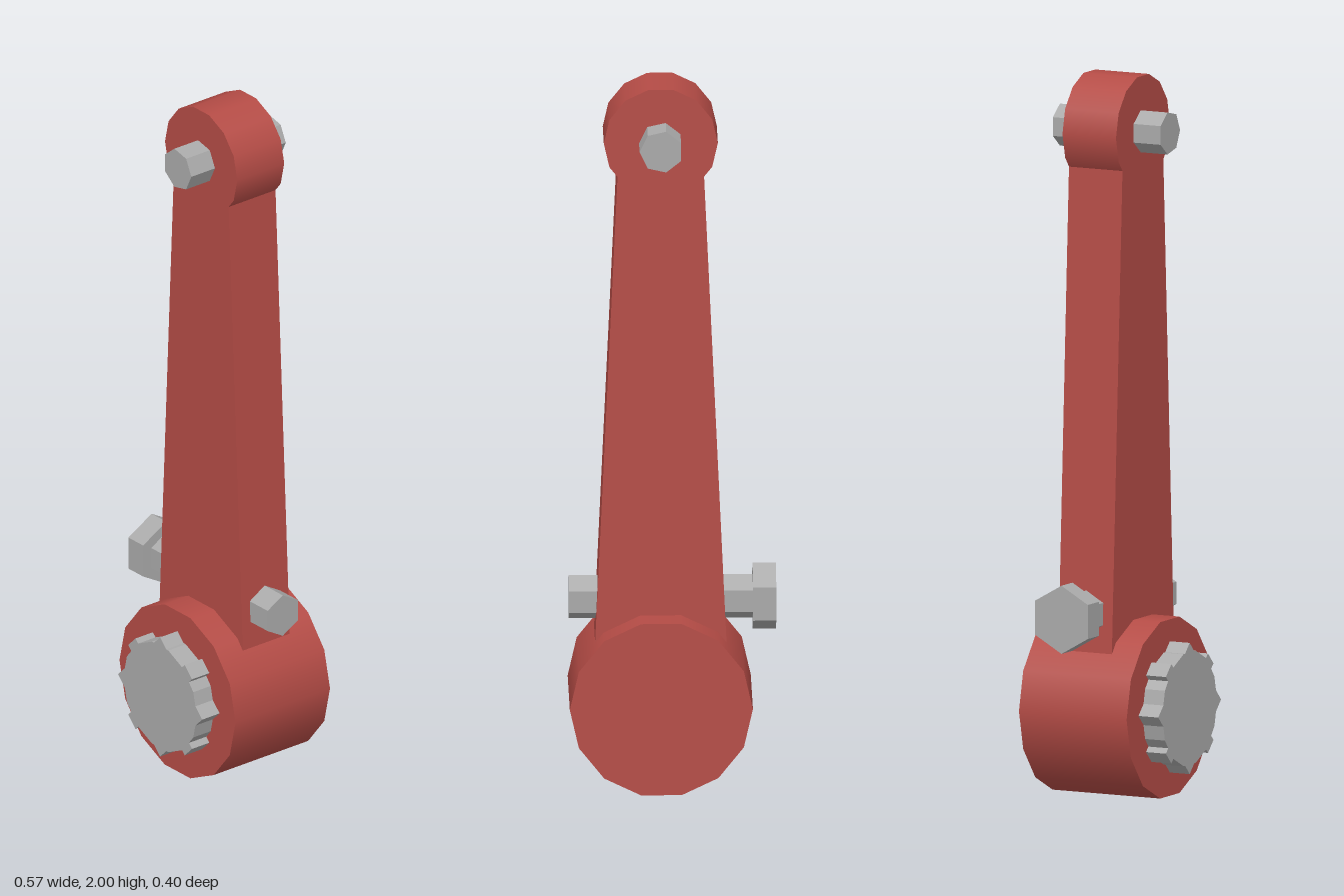
import * as THREE from 'three';

export function createModel() {
  const group = new THREE.Group();
  group.name = 'crankArm';
  const red = new THREE.MeshStandardMaterial({ color: 0xb54c46 });
  red.name = 'red paint';
  const steel = new THREE.MeshStandardMaterial({ color: 0xaaaaaa });
  steel.name = 'grey steel';

  const CX = 0.032; // centre line of the arm
  const add = (name, geometry, material) => {
    const mesh = new THREE.Mesh(geometry, material);
    mesh.name = name;
    group.add(mesh);
    return mesh;
  };
  // Prism along z between z0 and z1, with one corner pointing to +x
  const alongZ = (r, sides, y, z0, z1) =>
    new THREE.CylinderGeometry(r, r, z1 - z0, sides, 1, false, Math.PI / 2)
      .rotateX(Math.PI / 2).translate(CX, y, (z0 + z1) / 2);
  // Hexagonal prism along x between x0 and x1, with corners up and down
  const hexAlongX = (r, x0, x1) =>
    new THREE.CylinderGeometry(r, r, x1 - x0, 6, 1, false, Math.PI / 2)
      .rotateZ(Math.PI / 2).translate((x0 + x1) / 2, 0.522, -0.032).toNonIndexed();
  const flat = (geometry) => {
    const g = geometry.index ? geometry.toNonIndexed() : geometry;
    g.computeVertexNormals();
    return g;
  };

  // Smooth-shaded hub and end eye
  const hubY = 0.246, eyeY = 1.847;
  add('hub', alongZ(0.252, 14, hubY, -0.2, 0.136), red);
  add('endEye', alongZ(0.157, 14, eyeY, -0.115, 0.052), red);

  // Tapered arm, running into the hub and the eye
  const arm = new THREE.Shape([
    [-0.187, 0.28], [0.187, 0.28], [0.115, 1.84], [-0.115, 1.84],
  ].map(([x, y]) => new THREE.Vector2(CX + x, y)));
  add('arm', new THREE.ExtrudeGeometry(arm, { depth: 0.167, bevelEnabled: false })
    .translate(0, 0, -0.115), red);

  // Pin through the eye
  add('eyePin', flat(alongZ(0.06, 7, eyeY, -0.2, 0.136)), steel);

  // Clamp bolt across the arm
  add('boltShaft', flat(hexAlongX(0.062, -0.223, 0.284)), steel);
  add('boltHead', flat(hexAlongX(0.095, -0.286, -0.222)), steel);

  // Splined shaft end: disc with eight square teeth, all turned the same way
  add('splineDisc', flat(alongZ(0.16, 14, hubY + 0.002, 0.13, 0.198)), steel);
  for (let i = 0; i < 8; i++) {
    const a = (i * Math.PI) / 4;
    const tooth = add('splineTooth', new THREE.BoxGeometry(0.045, 0.045, 0.068), steel);
    tooth.position.set(CX + 0.151 * Math.cos(a), hubY + 0.002 + 0.151 * Math.sin(a), 0.164);
    tooth.rotation.z = Math.PI / 4;
  }
  return group;
}
